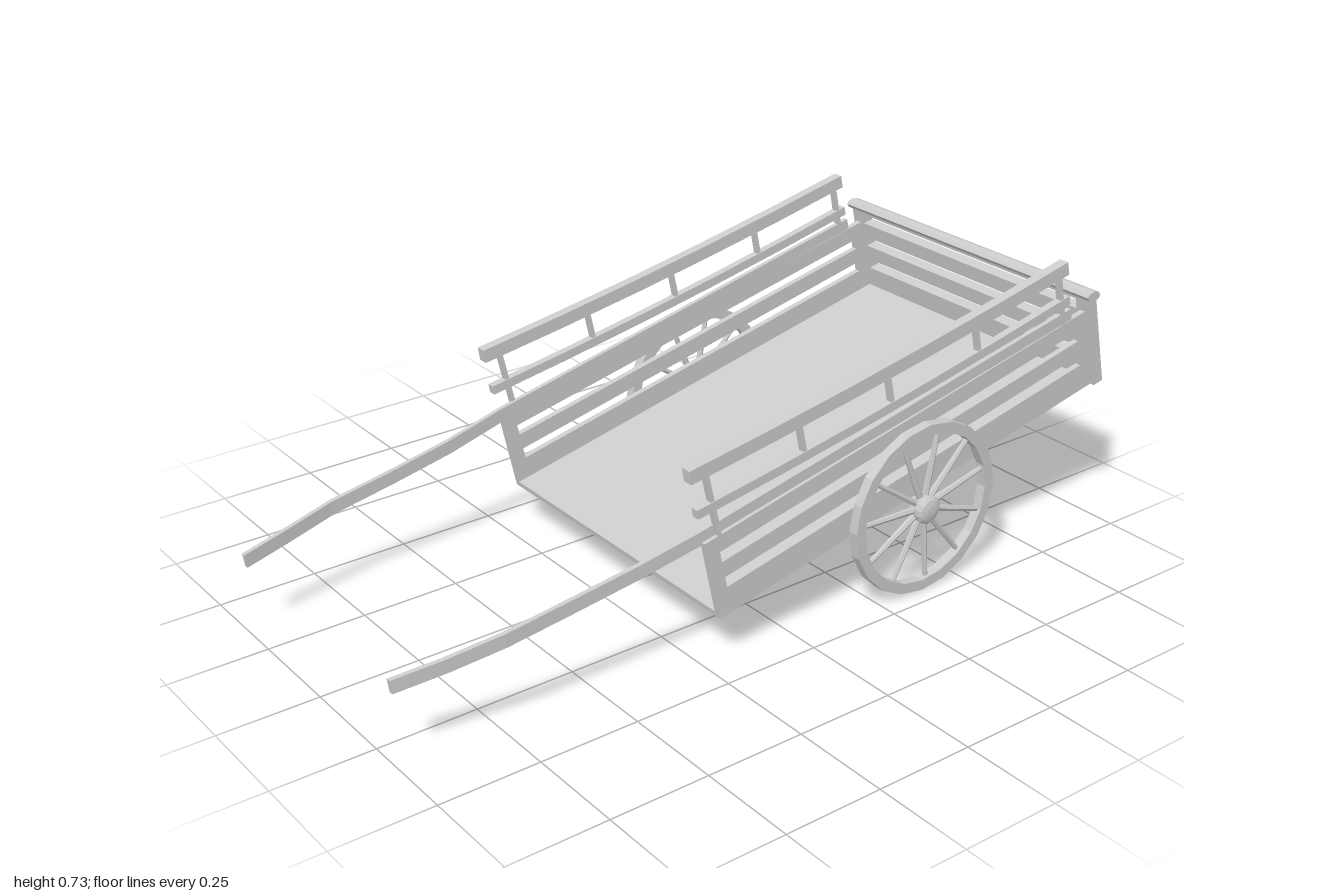
import * as THREE from 'three';

const TILT = 0.2175;
const mat = new THREE.MeshStandardMaterial({ color: 0xcccccc, flatShading: true });

function add(parent, name, geo, x = 0, y = 0, z = 0) {
  const m = new THREE.Mesh(geo, mat);
  m.name = name;
  m.position.set(x, y, z);
  parent.add(m);
  return m;
}

// Rectangular beam swept through points [x, y, z], kept upright in the xy plane
function beam(points, height, thick) {
  const pts = points.map(p => new THREE.Vector3(...p));
  const pos = [], idx = [];
  pts.forEach((p, i) => {
    const a = pts[Math.max(i - 1, 0)], b = pts[Math.min(i + 1, pts.length - 1)];
    const n = new THREE.Vector2(a.y - b.y, b.x - a.x).normalize().multiplyScalar(height / 2);
    for (const [s, t] of [[-1, -1], [-1, 1], [1, 1], [1, -1]])
      pos.push(p.x + s * n.x, p.y + s * n.y, p.z + t * thick / 2);
    if (i < pts.length - 1)
      for (let k = 0; k < 4; k++) {
        const q = i * 4 + k, r = i * 4 + (k + 1) % 4;
        idx.push(q, q + 4, r + 4, q, r + 4, r);
      }
  });
  const e = (pts.length - 1) * 4;
  idx.push(0, 1, 2, 0, 2, 3, e, e + 2, e + 1, e, e + 3, e + 2);
  const g = new THREE.BufferGeometry();
  g.setAttribute('position', new THREE.Float32BufferAttribute(pos, 3));
  g.setIndex(idx);
  const flat = g.toNonIndexed();
  flat.computeVertexNormals();
  return flat;
}

// Board from x0 to x1 with horizontal slots
function slottedBoard(x0, x1, height, margin, slots, depth) {
  const rect = (C, a, b, c, d) => new C([[a, b], [c, b], [c, d], [a, d]].map(p => new THREE.Vector2(...p)));
  const shape = rect(THREE.Shape, x0, 0, x1, height);
  for (const y of slots) shape.holes.push(rect(THREE.Path, x0 + margin, y, x1 - margin, y + 0.028));
  return new THREE.ExtrudeGeometry(shape, { depth, bevelEnabled: false });
}

function makeWheel() {
  const wheel = new THREE.Group();
  const R = 0.22, r = 0.193, N = 20, W = 0.026;
  // Rim
  const profile = [[r, -W / 2], [R, -W / 2], [R, W / 2], [r, W / 2], [r, -W / 2]];
  const rim = new THREE.LatheGeometry(profile.map(p => new THREE.Vector2(...p)), N);
  add(wheel, 'rim', rim.rotateX(Math.PI / 2));
  // Spokes
  for (let i = 0; i < 11; i++) {
    const s = new THREE.CylinderGeometry(0.006, 0.009, 0.18, 6).translate(0, 0.11, 0);
    add(wheel, 'spoke', s).rotation.z = -Math.PI / 2 - 1.466 + i * Math.PI * 2 / 11;
  }
  // Hub with domed cap
  const hub = [[0, -0.016], [0.03, -0.016], [0.036, 0.012], [0.036, 0.02], [0.028, 0.027], [0.014, 0.031], [0, 0.032]];
  add(wheel, 'hub', new THREE.LatheGeometry(hub.map(p => new THREE.Vector2(...p)), 14).rotateX(Math.PI / 2));
  return wheel;
}

export function createModel() {
  const cart = new THREE.Group();
  cart.name = 'handcart';

  // Tilted box
  const body = new THREE.Group();
  body.name = 'cartBody';
  body.position.set(-0.21, 0.115, 0);
  body.rotation.z = TILT;
  cart.add(body);
  add(body, 'floor', new THREE.BoxGeometry(1.21, 0.014, 0.836), 0.605, 0.007);
  for (const s of [1, -1])
    add(body, 'sideBoard', slottedBoard(0, 1.21, 0.21, 0.035, [0.07, 0.14], 0.016), 0, 0, s * 0.41 - 0.008);

  // Tailgate and its rounded cap
  const gate = slottedBoard(-0.43, 0.43, 0.245, 0.04, [0.07, 0.14, 0.21], 0.03);
  add(body, 'tailgate', gate.rotateY(Math.PI / 2), 1.205, 0, 0);
  const cap = new THREE.CylinderGeometry(0.022, 0.022, 0.88, 8).rotateX(Math.PI / 2).scale(1, 0.6, 1);
  add(body, 'tailgateCap', cap, 1.218, 0.254, 0).rotation.z = -TILT;

  for (const s of [1, -1]) {
    // Long shaft: curved handle running on as the top plank
    const path = [[-1, 0.198, 0.33], [-0.88, 0.215, 0.353], [-0.75, 0.238, 0.375], [-0.58, 0.265, 0.382],
      [-0.42, 0.293, 0.39], [-0.258, 0.33, 0.402], [0.875, 0.582, 0.41]];
    add(cart, 'shaft', beam(path.map(([x, y, z]) => [x, y, s * z]), 0.034, 0.012));

    // Upper rails, slightly sagging
    const rail = (x0, y0, x1, y1) => t =>
      [x0 + (x1 - x0) * t, y0 + (y1 - y0) * t - 0.045 * t * (1 - t), s * 0.411];
    const top = rail(-0.3, 0.497, 0.842, 0.713), low = rail(-0.277, 0.4, 0.86, 0.626);
    const ts = [0, 0.2, 0.4, 0.6, 0.8, 1];
    add(cart, 'topRail', beam(ts.map(top), 0.034, 0.026));
    add(cart, 'lowerRail', beam(ts.map(low), 0.023, 0.02));

    // Rail posts; the end ones reach down to the side board
    [0.04, 0.27, 0.5, 0.74, 0.98].forEach((t, i) => {
      const a = top(t), b = low(t), k = i % 4 === 0 ? 1.8 : 1;
      const foot = [a[0] + (b[0] - a[0]) * k, a[1] + (b[1] - a[1]) * k, a[2]];
      add(cart, 'railPost', beam([foot, a], 0.01, 0.016));
    });

    // Wheels and axle blocks
    const wheel = makeWheel();
    wheel.name = s > 0 ? 'leftWheel' : 'rightWheel';
    wheel.position.set(0.38, 0.222, s * 0.443);
    if (s < 0) wheel.scale.z = -1;
    cart.add(wheel);
    add(cart, 'axleBlock', new THREE.BoxGeometry(0.07, 0.058, 0.075), 0.38, 0.224, s * 0.208).rotation.z = TILT;
  }
  add(cart, 'axle', new THREE.CylinderGeometry(0.011, 0.011, 0.89, 10).rotateX(Math.PI / 2), 0.38, 0.226, 0);
  return cart;
}
